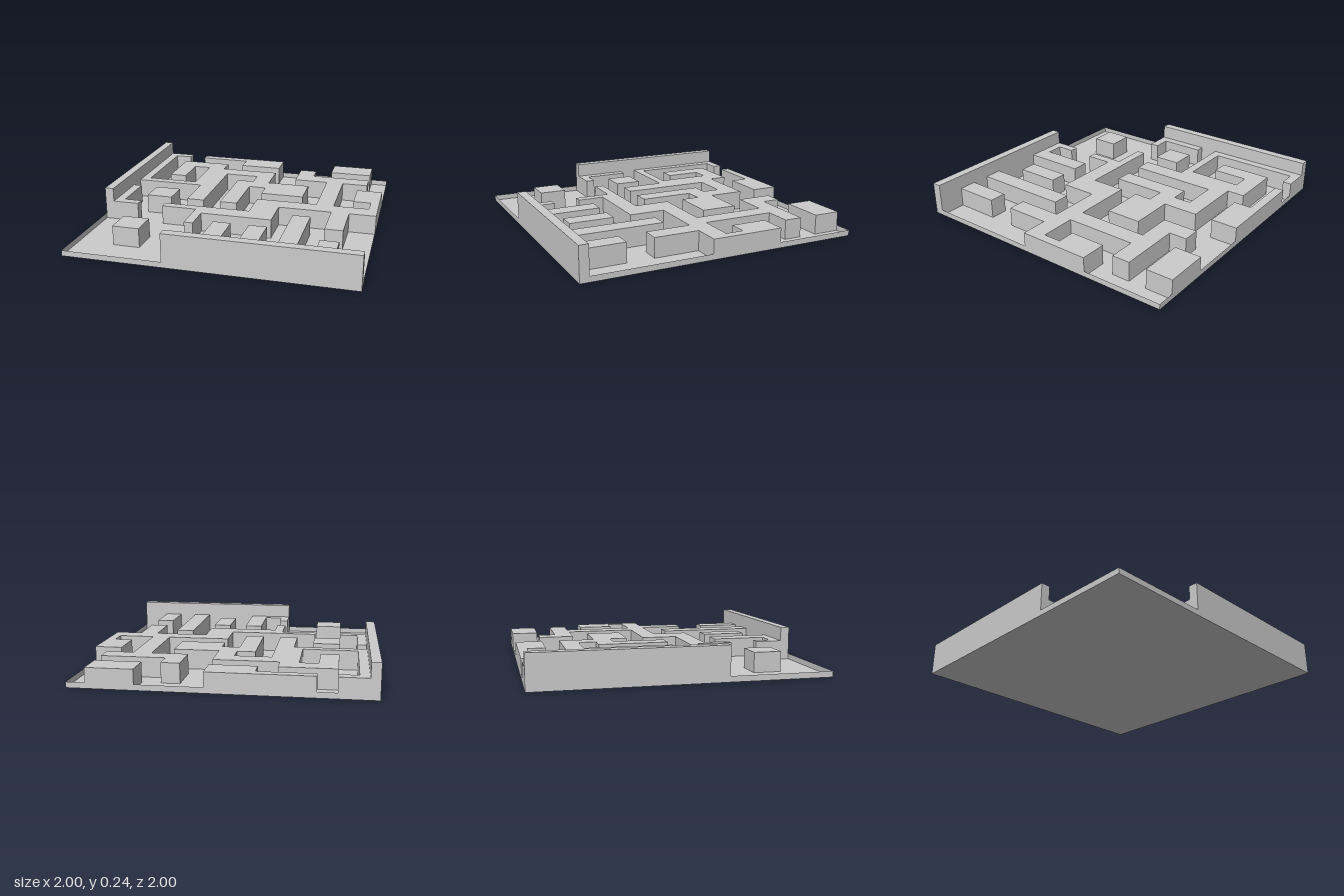
import * as THREE from 'three';

// Plan grid: 31 cells across the 2 unit side, u along x and v along z.
const CELLS = 31;
const toWorld = (n) => -1 + (2 * n) / CELLS;
const RIM = 0.04, LOW = 0.14, HIGH = 0.24;

const material = new THREE.MeshStandardMaterial({ color: 0xcccccc, flatShading: true });
const sheetMaterial = new THREE.MeshStandardMaterial({ color: 0xcccccc, flatShading: true, side: THREE.DoubleSide });

// Upright wall from a plan outline of [u, v] corners
function wall(name, corners, height) {
  const points = corners.map(([u, v]) => new THREE.Vector2(toWorld(u), -toWorld(v)));
  const geometry = new THREE.ExtrudeGeometry(new THREE.Shape(points), { depth: height, bevelEnabled: false });
  geometry.rotateX(-Math.PI / 2);
  const mesh = new THREE.Mesh(geometry, material);
  mesh.name = name;
  return mesh;
}

const rect = (u0, v0, u1, v1) => [[u0, v0], [u1, v0], [u1, v1], [u0, v1]];

// Thin upright sheet along the plate edge
function rimSheet([u0, v0, u1, v1]) {
  const length = (2 * Math.hypot(u1 - u0, v1 - v0)) / CELLS;
  const mesh = new THREE.Mesh(new THREE.PlaneGeometry(length, RIM), sheetMaterial);
  mesh.position.set(toWorld((u0 + u1) / 2), RIM / 2, toWorld((v0 + v1) / 2));
  if (u0 === u1) mesh.rotation.y = Math.PI / 2;
  mesh.name = 'rim';
  return mesh;
}

export function createModel() {
  const model = new THREE.Group();
  model.name = 'mazeBoard';

  // Floor plate
  const floor = new THREE.Mesh(new THREE.PlaneGeometry(2, 2).rotateX(-Math.PI / 2), sheetMaterial);
  floor.name = 'floor';
  model.add(floor);

  // Low rim in the gaps between the walls that reach the edge
  const rims = [
    [0, 31, 11, 31], [0, 20, 0, 31],
    [31, 0, 31, 9], [31, 17, 31, 30],
    [4, 0, 6, 0], [17, 0, 24, 0], [29, 0, 31, 0],
  ];
  rims.forEach((r) => model.add(rimSheet(r)));

  // Tall outer walls
  model.add(wall('tallSideWall', rect(0, 0, 1, 20), HIGH));
  model.add(wall('tallFrontWall', rect(11, 30, 31, 31), HIGH));

  // Winding maze walls
  model.add(wall('backMazeWall', [
    [1, 0], [4, 0], [4, 1], [2, 1], [2, 11], [8, 11], [8, 5], [6, 5], [6, 9], [4, 9],
    [4, 3], [10, 3], [10, 5], [17, 5], [17, 9], [22, 9], [22, 13], [17, 13], [17, 11], [15, 11],
    [15, 17], [13, 17], [13, 9], [15, 9], [15, 7], [11, 7], [11, 17], [9, 17], [9, 12], [1, 12],
  ], LOW));
  model.add(wall('middleMazeWall', [
    [20, 3], [22, 3], [22, 5], [29, 5], [29, 7], [26, 7], [26, 15], [30, 15], [30, 13], [28, 13],
    [28, 9], [31, 9], [31, 17], [28, 17], [28, 22], [26, 22], [26, 17], [20, 17], [20, 21], [12, 21],
    [12, 24], [11, 24], [11, 20], [7, 20], [7, 19], [17, 19], [17, 15], [24, 15], [24, 7], [20, 7],
  ], LOW));
  model.add(wall('backEdgeWall', [[6, 0], [17, 0], [17, 3], [12, 3], [12, 1], [6, 1]], LOW));
  model.add(wall('sideHookWall', [[1, 14], [2, 14], [2, 19], [4, 19], [4, 20], [1, 20]], LOW));
  model.add(wall('frontHookWall', [
    [11, 27], [12, 27], [12, 29], [14, 29], [14, 23], [16, 23], [16, 30], [11, 30],
  ], LOW));

  // Plain rectangular blocks and stub walls
  const blocks = [
    [4, 14, 7, 17], [4, 24, 7, 27], [24, 0, 29, 3],
    [18, 23, 20, 28], [22, 19, 24, 30], [26, 25, 28, 30],
  ];
  blocks.forEach((b) => model.add(wall('block', rect(...b), LOW)));

  return model;
}
